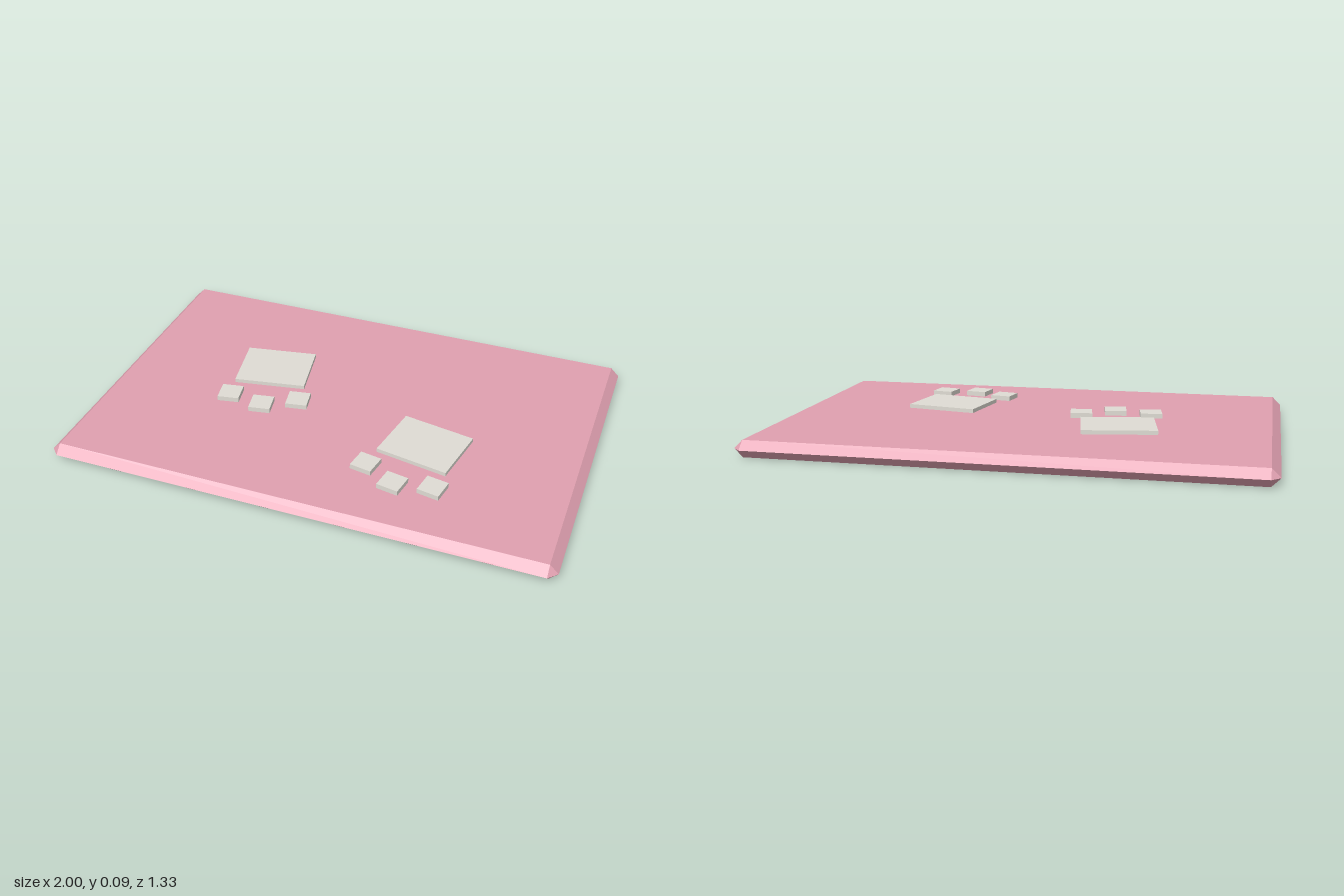
import * as THREE from 'three';

// Slab with a ridge round its sides: two rectangles and a wider, corner-cut middle ring
function slabGeometry(x, z, bevel, h) {
  const X = x + bevel, Z = z + bevel;
  const corners = [[x, z], [x, -z], [-x, -z], [-x, z]];
  const mid = [[x, Z], [X, z], [X, -z], [x, -Z], [-x, -Z], [-X, -z], [-X, z], [-x, Z]];
  const top = corners.map(([a, b]) => [a, h, b]);
  const bottom = corners.map(([a, b]) => [a, 0, b]);
  const ring = mid.map(([a, b]) => [a, h / 2, b]);
  const pos = [];
  const tri = (...p) => p.forEach((v) => pos.push(...v));
  const quad = (a, b, c, d) => { tri(a, b, c); tri(a, c, d); };

  quad(...top);
  quad(...[...bottom].reverse());
  for (let i = 0; i < 4; i++) {
    const j = (i + 1) % 4;
    const m0 = ring[2 * i], m1 = ring[2 * i + 1], m2 = ring[(2 * i + 2) % 8];
    // corner facets
    tri(top[i], m0, m1);
    tri(bottom[i], m1, m0);
    // side facets
    quad(top[i], m1, m2, top[j]);
    quad(bottom[j], m2, m1, bottom[i]);
  }
  const g = new THREE.BufferGeometry();
  g.setAttribute('position', new THREE.Float32BufferAttribute(pos, 3));
  g.computeVertexNormals();
  return g;
}

export function createModel() {
  const model = new THREE.Group();
  const pink = new THREE.MeshStandardMaterial({ color: 0xe0a0b0 });
  pink.name = 'dustyPink';
  const grey = new THREE.MeshStandardMaterial({ color: 0xdfdcd4 });
  grey.name = 'warmGrey';

  const H = 0.067;
  const slab = new THREE.Mesh(slabGeometry(0.966, 0.633, 0.034, H), pink);
  slab.name = 'slab';
  model.add(slab);

  // Paw print: one large pad and three toes; side = 1 mirrors it across x
  function pawPrint(name, side, x, z) {
    const paw = new THREE.Group();
    paw.name = name;
    const block = (label, w, h, d, px, pz) => {
      const m = new THREE.Mesh(new THREE.BoxGeometry(w, h, d), grey);
      m.name = label;
      m.position.set(-side * px, h / 2, pz);
      m.rotation.y = -side * THREE.MathUtils.degToRad(10);
      paw.add(m);
    };
    block('pad', 0.295, 0.016, 0.243, 0, 0);
    [[-0.102, 0.237], [0.047, 0.262], [0.178, 0.188]].forEach(([px, pz], i) =>
      block('toe' + (i + 1), 0.088, 0.02, 0.088, px, pz));
    paw.position.set(x, H, z);
    model.add(paw);
  }
  pawPrint('rightPawPrint', -1, -0.376, -0.128);
  pawPrint('leftPawPrint', 1, 0.376, 0.161);

  return model;
}
